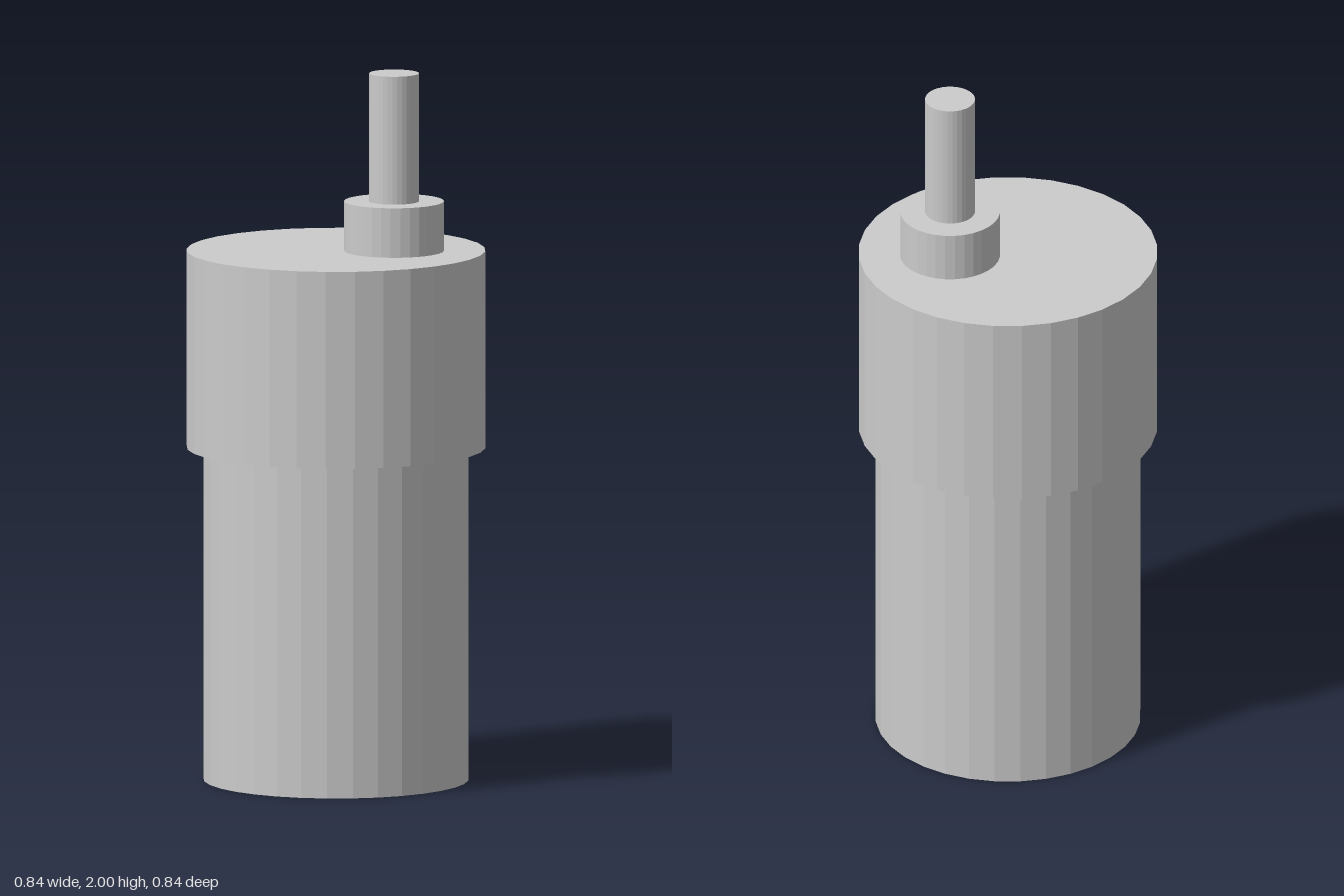
import * as THREE from 'three';

const SIDES = 32;

export function createModel() {
  const group = new THREE.Group();
  group.name = 'gearMotor';
  const material = new THREE.MeshStandardMaterial({ color: 0xcccccc, flatShading: true });

  // Upright cylinder between two heights
  function addCylinder(name, radius, bottom, top, x = 0) {
    const geometry = new THREE.CylinderGeometry(radius, radius, top - bottom, SIDES);
    const mesh = new THREE.Mesh(geometry, material);
    mesh.name = name;
    mesh.position.set(x, (bottom + top) / 2, 0);
    group.add(mesh);
  }

  // Motor can and the wider gearbox on top of it
  addCylinder('motorBody', 0.372, 0, 0.94);
  addCylinder('gearbox', 0.419, 0.94, 1.498);

  // Off-centre output boss and shaft
  const shaftX = 0.163;
  addCylinder('shaftBoss', 0.14, 1.498, 1.638, shaftX);
  addCylinder('outputShaft', 0.07, 1.638, 2, shaftX);

  return group;
}
